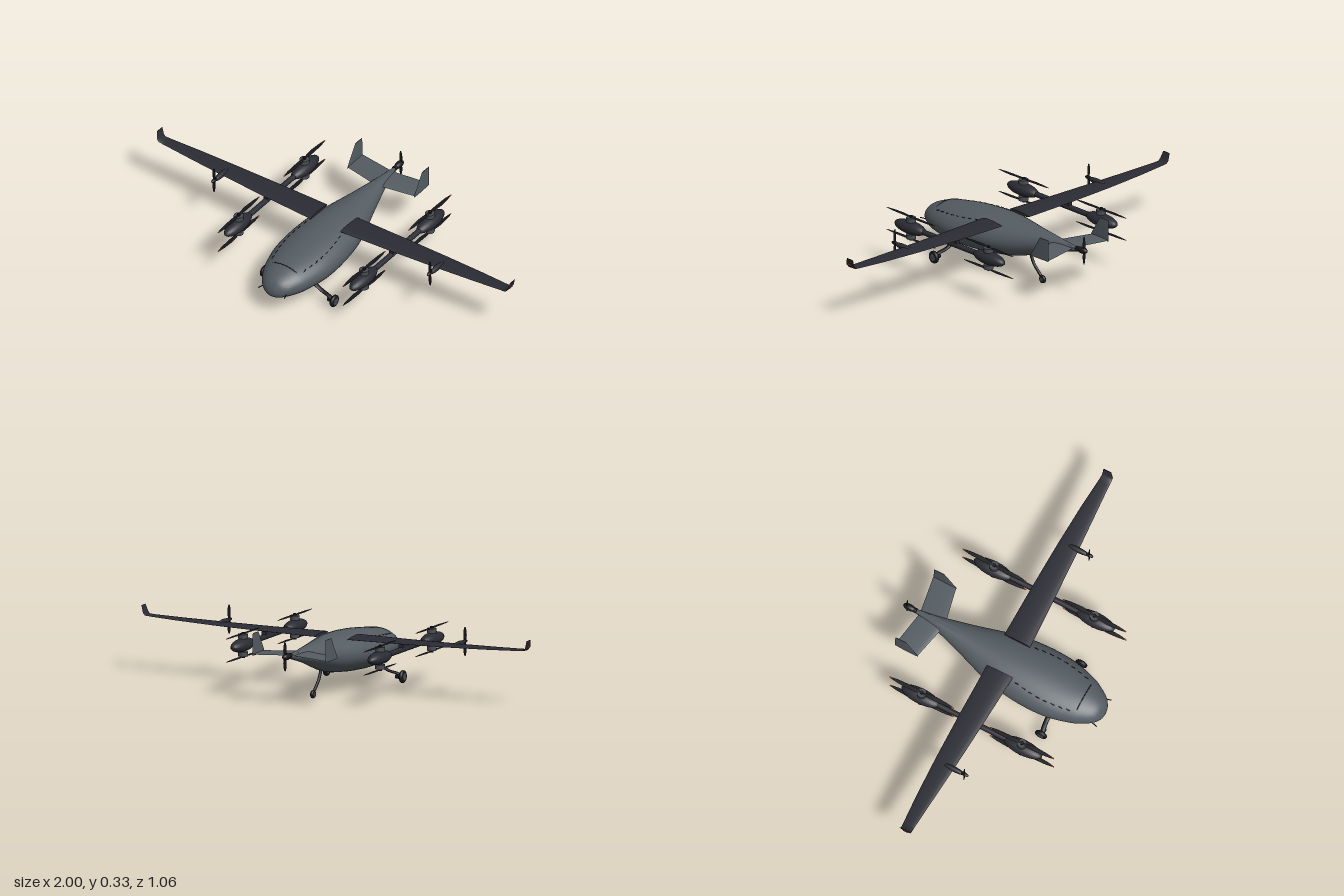
import * as THREE from 'three';
import { toCreasedNormals } from 'three/addons/utils/BufferGeometryUtils.js';

const mat = (name, color) => Object.assign(new THREE.MeshStandardMaterial({ color }), { name });
const V = (x, y, z) => new THREE.Vector3(x, y, z);

// Skin over a list of rings, closed at both ends
function loft(rings, crease = 0.7) {
  const n = rings[0].length, pos = [], idx = [];
  const push = p => pos.push(p.x, p.y, p.z);
  rings.forEach(r => r.forEach(push));
  for (let i = 0; i < rings.length - 1; i++) for (let j = 0; j < n; j++) {
    const k = (j + 1) % n, a = i * n + j, b = a + n, c = i * n + k, d = c + n;
    idx.push(a, b, c, c, b, d);
  }
  const last = rings.length - 1, c0 = rings.length * n;
  for (const r of [rings[0], rings[last]]) push(r.reduce((s, p) => s.add(p), V(0, 0, 0)).divideScalar(n));
  for (let j = 0; j < n; j++) {
    const k = (j + 1) % n;
    idx.push(c0, j, k, c0 + 1, last * n + k, last * n + j);
  }
  const g = new THREE.BufferGeometry();
  g.setAttribute('position', new THREE.Float32BufferAttribute(pos, 3));
  g.setIndex(idx);
  return toCreasedNormals(g, crease);
}

// Aerofoil loft; stations are [x, y, zFront, zBack, thickness, cant]
function foil(stations, n = 14) {
  return loft(stations.map(([x, y, zf, zb, t, cant = 0]) => Array.from({ length: n }, (_, j) => {
    const a = j / n * Math.PI * 2, c = Math.cos(a);
    const h = Math.sin(a) * t / 2 * (0.7 + 0.3 * c);
    return V(x - Math.sin(cant) * h, y + Math.cos(cant) * h, (zf + zb) / 2 + c * (zf - zb) / 2);
  })), 1.1);
}

function mirrorGeometry(geo) {
  const g = geo.clone().scale(-1, 1, 1);
  const src = g.index ? Array.from(g.index.array) : Array.from({ length: g.attributes.position.count }, (_, i) => i);
  for (let i = 0; i < src.length; i += 3) [src[i + 1], src[i + 2]] = [src[i + 2], src[i + 1]];
  g.setIndex(src);
  return g;
}

export function createModel() {
  const model = new THREE.Group();
  model.name = 'aircraft';
  const grey = mat('hull grey', 0x545c62), carbon = mat('carbon dark', 0x2b2b34), black = mat('black', 0x17171b);
  const metal = mat('motor grey', 0x484c52), orange = mat('orange', 0xd0501c);

  const add = (name, geo, m) => {
    const mesh = new THREE.Mesh(geo, m);
    mesh.name = name;
    model.add(mesh);
  };
  const pair = (name, geo, m) => {
    add(name + 'Left', geo, m);
    add(name + 'Right', mirrorGeometry(geo), m);
  };
  const cyl = (r, h, s = 20) => new THREE.CylinderGeometry(r, r, h, s);
  const ball = (rx, ry, rz) => new THREE.SphereGeometry(1, 24, 16).scale(rx, ry, rz);

  // Fuselage: z, half width, bottom, top
  const profile = [
    [0.528, 0.004, 0.132, 0.14], [0.52, 0.036, 0.112, 0.164], [0.495, 0.07, 0.098, 0.194], [0.445, 0.102, 0.085, 0.217],
    [0.4, 0.122, 0.079, 0.23], [0.3, 0.148, 0.073, 0.246], [0.2, 0.155, 0.071, 0.258], [0.1, 0.15, 0.076, 0.265],
    [0, 0.135, 0.086, 0.267], [-0.1, 0.106, 0.103, 0.265], [-0.2, 0.074, 0.136, 0.261], [-0.32, 0.04, 0.18, 0.255],
    [-0.4, 0.021, 0.205, 0.25], [-0.468, 0.009, 0.225, 0.246]];
  const zw = new THREE.CatmullRomCurve3(profile.map(p => V(p[0], p[1], 0)), false, 'catmullrom');
  const bt = new THREE.CatmullRomCurve3(profile.map(p => V(p[2], p[3], 0)), false, 'catmullrom');
  const section = t => {
    const a = zw.getPoint(t), b = bt.getPoint(t);
    return { z: a.x, w: a.y, mid: (b.x + b.y) / 2, h: (b.y - b.x) / 2 };
  };
  const rows = Array.from({ length: 53 }, (_, i) => section(i / 52));
  add('fuselage', loft(rows.map(s => Array.from({ length: 40 }, (_, j) => {
    const a = j / 40 * Math.PI * 2;
    return V(s.w * Math.cos(a), s.mid + s.h * Math.sin(a), s.z);
  })), 1.2), grey);

  // Hatch seams lying on the upper skin
  const onSkin = (x, z) => {
    let lo = 0, hi = 1;
    for (let i = 0; i < 24; i++) {
      const m = (lo + hi) / 2;
      if (section(m).z > z) lo = m; else hi = m;
    }
    const s = section(lo);
    return V(x, s.mid + s.h * Math.sqrt(Math.max(0, 1 - (x / s.w) ** 2)), z);
  };
  const seam = pts => new THREE.TubeGeometry(new THREE.CatmullRomCurve3(pts), 10, 0.002, 5);
  add('frontSeam', seam([-0.07, -0.035, 0, 0.035, 0.07].map(x => onSkin(x, 0.415))), black);
  for (let i = 0; i < 9; i++) {
    const z = 0.39 - i * 0.038, x = 0.082 + 0.026 * Math.sin((i + 1) / 10 * Math.PI);
    pair('hatchDash' + i, seam([onSkin(x, z), onSkin(x, z - 0.01), onSkin(x, z - 0.02)]), black);
  }

  // Main wings with upturned tips
  pair('wing', foil([
    [0.085, 0.252, 0.087, -0.048, 0.026], [0.35, 0.254, 0.074, -0.046, 0.019], [0.6, 0.258, 0.06, -0.04, 0.015],
    [0.8, 0.263, 0.047, -0.031, 0.011], [0.95, 0.268, 0.037, -0.02, 0.008], [0.98, 0.27, 0.036, -0.018, 0.007, 0.5],
    [0.99, 0.282, 0.036, -0.018, 0.006, 1.2], [0.998, 0.317, 0.024, -0.018, 0.004, 1.4]]), carbon);
  pair('tipLight', new THREE.BoxGeometry(0.005, 0.006, 0.022).translate(0.9935, 0.287, 0.012), orange);

  // Two-bladed propeller with its span along x
  const blade = (r, w) => foil([
    [0, 0, 0.005, -0.005, 0.006], [r * 0.2, 0, w * 0.45, -w * 0.4, 0.005], [r * 0.45, 0, w * 0.6, -w * 0.4, 0.004],
    [r * 0.8, 0, w * 0.45, -w * 0.3, 0.003], [r, 0, w * 0.25, -w * 0.1, 0.002]], 8);

  // Lift booms, pods, motors and rotors
  const bx = 0.355, py = 0.224;
  pair('boom', cyl(0.013, 0.62).rotateX(Math.PI / 2).translate(bx, py, 0.017), carbon);
  pair('boomMount', new THREE.BoxGeometry(0.022, 0.03, 0.1).translate(bx, 0.24, 0.015), carbon);
  for (const [end, z] of [['front', 0.28], ['rear', -0.245]]) {
    pair(end + 'Pod', ball(0.037, 0.031, 0.1).translate(bx, py, z + (end === 'rear' ? -0.005 : 0.005)), carbon);
    for (const [level, my, ry] of [['Upper', 0.264, 0.277], ['Lower', 0.181, 0.168]]) {
      const name = end + level;
      pair(name + 'Motor', cyl(0.023, 0.021).translate(bx, my, z), metal);
      pair(name + 'Hub', cyl(0.008, 0.012, 12).translate(bx, ry, z), black);
      for (const s of [1, -1]) {
        const place = g => g.rotateY(s * Math.PI / 2).translate(bx, ry, z);
        pair(name + 'Blade', place(blade(0.157, 0.022)), black);
        pair(name + 'BladeTip', place(foil([[0.156, 0, 0.006, -0.003, 0.003], [0.167, 0, 0.004, -0.001, 0.002]], 8)), orange);
      }
    }
  }

  // Wing-mounted tractor propellers and tail pusher
  const uprightBlade = s => blade(0.068, 0.018).rotateZ(s * Math.PI / 2).rotateY(Math.PI / 2);
  pair('nacelle', ball(0.013, 0.014, 0.055).translate(0.61, 0.259, 0.06), carbon);
  pair('spinner', ball(0.009, 0.009, 0.022).translate(0.61, 0.262, 0.114), black);
  add('tailMotor', cyl(0.012, 0.03).rotateX(Math.PI / 2).translate(0, 0.239, -0.475), black);
  add('tailSpinner', ball(0.016, 0.016, 0.032).translate(0, 0.24, -0.499), black);
  for (const s of [1, -1]) {
    pair('tractorBlade', uprightBlade(s).translate(0.61, 0.262, 0.115), black);
    add('pusherBlade', uprightBlade(s).translate(0, 0.242, -0.512), black);
  }

  // Tailplane and end fins
  pair('tailplane', foil([[0.008, 0.236, -0.315, -0.445, 0.014], [0.188, 0.23, -0.355, -0.475, 0.008]]), grey);
  pair('tailFin', foil([[0, 0, -0.35, -0.474, 0.008], [0.105, 0, -0.415, -0.472, 0.005]])
    .rotateZ(Math.PI / 2).translate(0.189, 0.224, 0), grey);

  // Main landing gear
  const tube = (pts, r) => new THREE.TubeGeometry(new THREE.CatmullRomCurve3(pts), 20, r, 10);
  pair('mainStrut', tube([V(0.06, 0.09, 0.29), V(0.1, 0.068, 0.29), V(0.13, 0.054, 0.29), V(0.165, 0.046, 0.292), V(0.2, 0.032, 0.295)], 0.006)
    .scale(1, 1, 1.9).translate(0, 0, -0.262), black);
  const wheel = (r, w) => new THREE.LatheGeometry([[0.4, -0.4], [0.8, -0.5], [0.96, -0.3], [1, 0], [0.96, 0.3], [0.8, 0.5], [0.4, 0.4]]
    .map(p => new THREE.Vector2(p[0] * r, p[1] * w)), 28).rotateZ(Math.PI / 2);
  pair('mainTyre', wheel(0.03, 0.018).translate(0.197, 0.031, 0.295), black);
  pair('mainHub', cyl(0.017, 0.018).rotateZ(Math.PI / 2).translate(0.197, 0.031, 0.295), metal);
  pair('brake', cyl(0.012, 0.03).rotateZ(Math.PI / 2).translate(0.178, 0.031, 0.295), black);

  // Tail wheel
  add('tailStrut', tube([V(0, 0.14, -0.145), V(0, 0.105, -0.157), V(0, 0.078, -0.172), V(0, 0.05, -0.2), V(0, 0.022, -0.23)], 0.007), black);
  add('tailTyre', wheel(0.019, 0.016).translate(0, 0.019, -0.23), black);
  add('tailHub', cyl(0.01, 0.017).rotateZ(Math.PI / 2).translate(0, 0.019, -0.23), metal);

  // Nose probes
  pair('probe', cyl(0.0025, 0.04, 8).rotateX(Math.PI / 2).rotateY(0.25).translate(0.068, 0.13, 0.5), black);
  return model;
}
